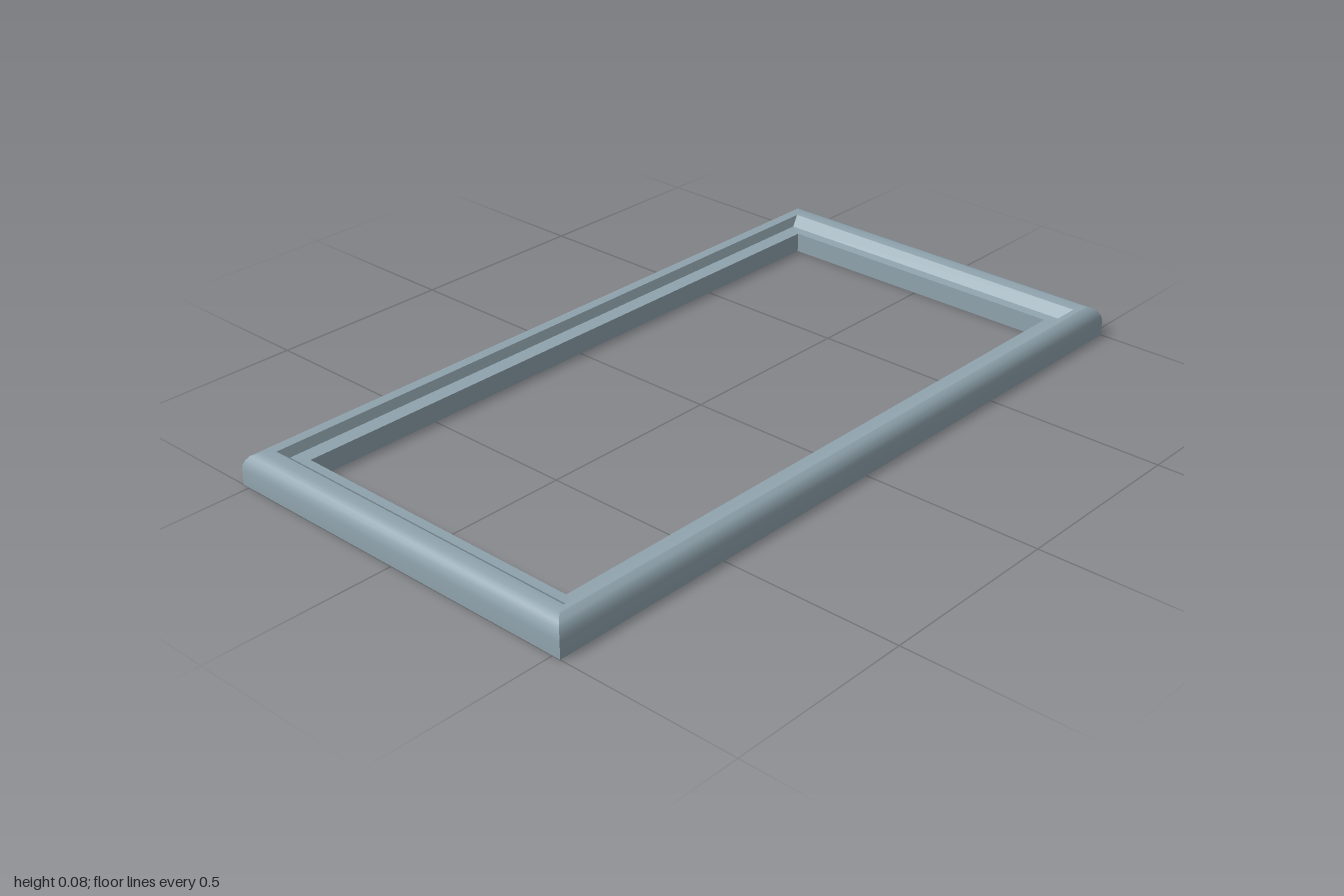
import * as THREE from 'three';
import { toCreasedNormals } from 'three/addons/utils/BufferGeometryUtils.js';

// Moulding profile: half width, half depth and height of each rectangular ring
const RINGS = [
  [1, 0.522, 0], [1, 0.522, 0.042], // outer wall
  [0.998, 0.52, 0.054], [0.993, 0.514, 0.066], [0.985, 0.506, 0.076], [0.967, 0.49, 0.083], // rounded shoulder
  [0.936, 0.471, 0.08], // crown
  [0.907, 0.461, 0.056], // inner bevel
  [0.88, 0.42, 0.054], [0.88, 0.42, 0], // ledge and inner wall
];
const CORNERS = [[1, 1], [1, -1], [-1, -1], [-1, 1]];

// One mitred rail running between two neighbouring corners
function railGeometry(side) {
  const start = CORNERS[side], end = CORNERS[(side + 1) % 4];
  const at = ([x, z, y], [sx, sz]) => [x * sx, y, z * sz];
  const positions = [];
  RINGS.forEach((ring, i) => {
    const next = RINGS[(i + 1) % RINGS.length];
    const a = at(ring, start), b = at(ring, end), c = at(next, end), d = at(next, start);
    positions.push(...a, ...b, ...c, ...a, ...c, ...d);
  });
  const geometry = new THREE.BufferGeometry();
  geometry.setAttribute('position', new THREE.Float32BufferAttribute(positions, 3));
  return toCreasedNormals(geometry, 0.55);
}

export function createModel() {
  const group = new THREE.Group();
  group.name = 'rectangularFrame';
  const blueGrey = new THREE.MeshStandardMaterial({ color: 0x90a4ae });
  blueGrey.name = 'blueGrey';

  // Four rails meeting at mitred corners
  ['leftRail', 'backRail', 'rightRail', 'frontRail'].forEach((name, side) => {
    const rail = new THREE.Mesh(railGeometry(side), blueGrey);
    rail.name = name;
    group.add(rail);
  });
  return group;
}
